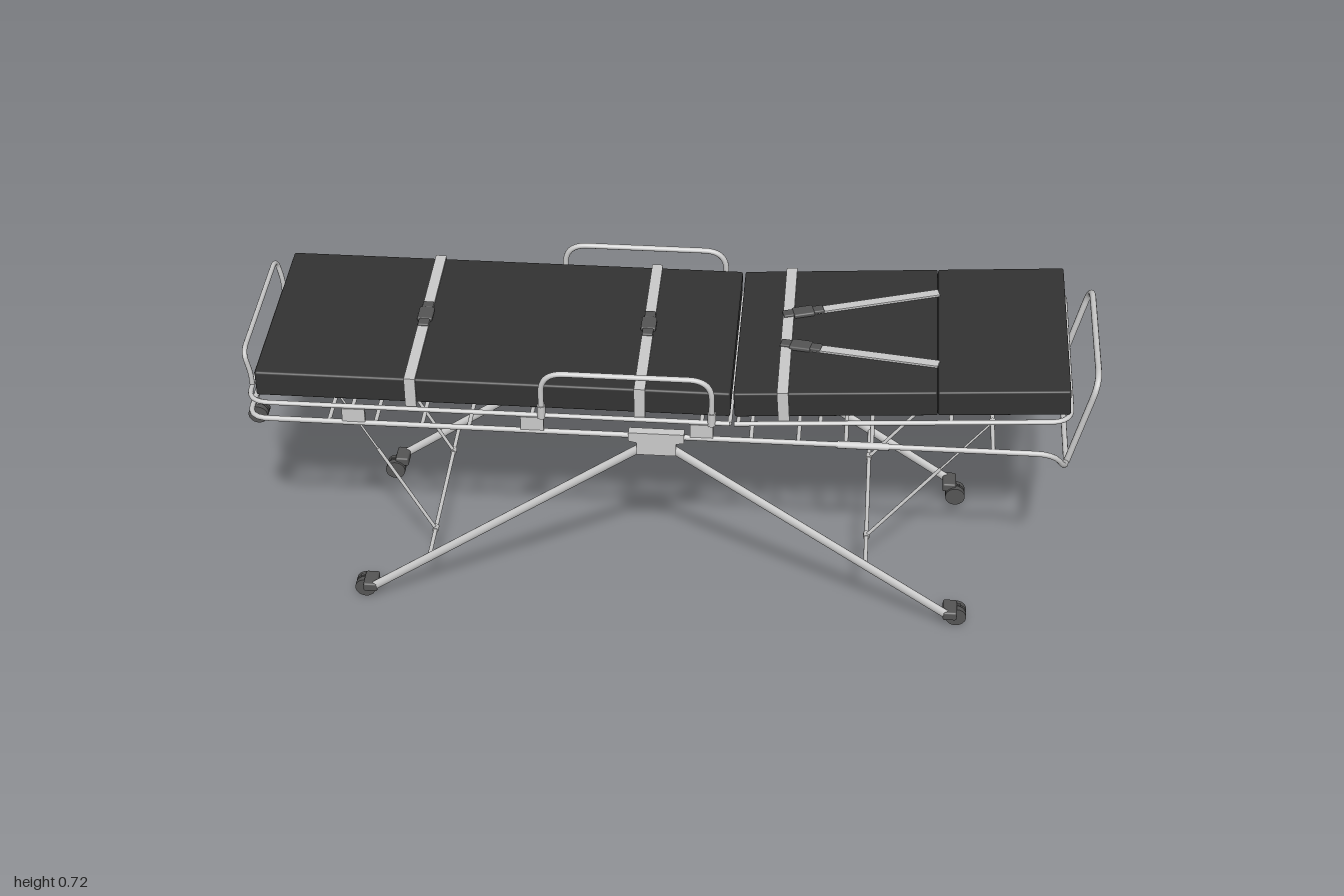
import * as THREE from 'three';
import { RoundedBoxGeometry } from 'three/addons/geometries/RoundedBoxGeometry.js';

const V = (x, y, z) => new THREE.Vector3(x, y, z);
const metal = new THREE.MeshStandardMaterial({ color: 0xcccccc, side: THREE.DoubleSide });
const padding = new THREE.MeshStandardMaterial({ color: 0x333333 });
const rubber = new THREE.MeshStandardMaterial({ color: 0x555555 });

function add(parent, name, geometry, material = metal) {
  const mesh = new THREE.Mesh(geometry, material);
  mesh.name = name;
  parent.add(mesh);
  return mesh;
}

// Box given by its centre and size
function box(parent, name, c, s, material = metal, r = 0) {
  const g = r ? new RoundedBoxGeometry(...s, 3, r) : new THREE.BoxGeometry(...s);
  const m = add(parent, name, g, material);
  m.position.set(...c);
  return m;
}

// Straight round bar between two points
function bar(parent, name, a, b, r, material = metal) {
  const d = b.clone().sub(a);
  const m = add(parent, name, new THREE.CylinderGeometry(r, r, d.length(), 12), material);
  m.position.copy(a).add(b).multiplyScalar(0.5);
  m.quaternion.setFromUnitVectors(V(0, 1, 0), d.normalize());
  return m;
}

// Bent tube through corner points, each corner rounded
function bentTube(parent, name, pts, r, bend, closed = false, segments = 160) {
  const n = pts.length, path = new THREE.CurvePath();
  const toward = (a, b) => a.clone().add(
    b.clone().sub(a).setLength(Math.min(bend, a.distanceTo(b) * 0.45)));
  let last = closed ? null : pts[0];
  let first = last;
  for (let i = closed ? 0 : 1; i < (closed ? n : n - 1); i++) {
    const p = pts[i];
    const a = toward(p, pts[(i + n - 1) % n]), b = toward(p, pts[(i + 1) % n]);
    if (last) path.add(new THREE.LineCurve3(last, a));
    else first = a;
    path.add(new THREE.QuadraticBezierCurve3(a, p, b));
    last = b;
  }
  path.add(new THREE.LineCurve3(last, closed ? first : pts[n - 1]));
  path.arcLengthDivisions = 400;
  return add(parent, name, new THREE.TubeGeometry(path, segments, r, 10, closed));
}

// Twin-wheel caster, origin at the wheel centre
function caster(parent, name, x, y, z, r) {
  const g = new THREE.Group();
  g.name = name;
  for (const s of [-1, 1]) {
    const wheel = add(g, 'wheel', new THREE.CylinderGeometry(r, r, 0.014, 24), rubber);
    wheel.rotation.x = Math.PI / 2;
    wheel.position.z = s * 0.01;
  }
  bar(g, 'axle', V(0, 0, -0.016), V(0, 0, 0.016), r * 0.3);
  box(g, 'fork', [0, r * 0.5, 0], [r * 0.9, r * 1.2, 0.006], rubber);
  g.position.set(x, y, z);
  parent.add(g);
  return g;
}

// Strap over the mattress, with a buckle in the middle
function strap(parent, x, y0, y1) {
  box(parent, 'strapTop', [x, y1 + 0.002, 0], [0.026, 0.005, 0.52]);
  for (const s of [-1, 1])
    box(parent, 'strapSide', [x, (y0 + y1) / 2, s * 0.258], [0.026, y1 - y0 + 0.009, 0.005]);
}

function buckle(parent, x, y, z, turn) {
  const g = new THREE.Group();
  g.name = 'buckle';
  box(g, 'buckleBody', [0, 0, 0], [0.036, 0.011, 0.05], rubber, 0.004);
  for (const s of [-1, 1]) box(g, 'buckleEnd', [0, 0, s * 0.036], [0.026, 0.009, 0.026], rubber, 0.003);
  g.position.set(x, y, z);
  g.rotation.y = turn;
  parent.add(g);
}

export function createModel() {
  const model = new THREE.Group();
  model.name = 'stretcher';
  const Z = 0.27, UP = 0.594, LOW = 0.548;

  // Mattress for the legs and its upper frame
  box(model, 'legMattress', [-0.405, 0.635, 0], [1.11, 0.066, 0.51], padding, 0.006);
  bentTube(model, 'upperFrame',
    [V(0.15, UP, Z), V(-0.98, UP, Z), V(-0.98, UP, -Z), V(0.15, UP, -Z)], 0.006, 0.05);
  for (const x of [-0.73, -0.31, 0.085, 0.15])
    bar(model, 'upperCrossbar', V(x, UP, -Z), V(x, UP, Z), 0.005);
  for (const x of [-0.595, -0.06]) {
    strap(model, x, 0.598, 0.668);
    buckle(model, x, 0.673, -0.005, 0);
  }

  // Tilted back rest, hinged at the end of the upper frame
  const back = new THREE.Group();
  back.name = 'backRest';
  back.position.set(0.16, UP, 0);
  back.rotation.z = 0.0645;
  model.add(back);
  box(back, 'backMattress', [0.235, 0.041, 0], [0.468, 0.066, 0.51], padding, 0.005);
  box(back, 'headMattress', [0.621, 0.041, 0], [0.302, 0.066, 0.51], padding, 0.005);
  bentTube(back, 'backFrame',
    [V(0, 0, Z), V(0.775, 0, Z), V(0.775, 0, -Z), V(0, 0, -Z)], 0.006, 0.05);
  for (const x of [0.01, 0.2, 0.5])
    bar(back, 'backCrossbar', V(x, 0, -Z), V(x, 0, Z), 0.005);
  strap(back, 0.115, 0.004, 0.074);
  for (const s of [-1, 1]) {
    const a = V(0.14, 0.077, s * 0.068), b = V(0.472, 0.077, s * 0.147);
    const turn = -Math.atan2(b.z - a.z, b.x - a.x);
    const m = box(back, 'shoulderStrap', a.clone().add(b).multiplyScalar(0.5).toArray(),
      [a.distanceTo(b), 0.005, 0.024]);
    m.rotation.y = turn;
    buckle(back, 0.15, 0.079, s * 0.07, turn + Math.PI / 2);
  }

  // Lower frame, dipping at the head end
  bentTube(model, 'lowerFrame', [
    V(-0.98, LOW, Z), V(0.9, LOW, Z), V(0.935, 0.481, 0.237),
    V(0.935, 0.481, -0.237), V(0.9, LOW, -Z), V(-0.98, LOW, -Z),
  ], 0.0065, 0.045, true, 300);
  for (const x of [-0.79, -0.68, -0.57, -0.46, 0.2, 0.31, 0.42, 0.76])
    bar(model, 'lowerCrossbar', V(x, LOW, -Z), V(x, LOW, Z), 0.005);

  // Handles at both ends
  const h = 0.198, c = 0.007;
  bentTube(model, 'headHandle', [V(0.936, 0.481, c + h), V(0.992, 0.711, c + h),
    V(0.992, 0.711, c - h), V(0.936, 0.481, c - h)], 0.0075, 0.05);
  bentTube(model, 'footHandle', [V(-0.98, UP, c + h), V(-0.981, 0.63, c + h), V(-0.994, 0.688, c + h),
    V(-0.994, 0.688, c - h), V(-0.981, 0.63, c - h), V(-0.98, UP, c - h)], 0.006, 0.035);

  for (const s of [-1, 1]) {
    // Side rail with clamps
    bentTube(model, 'sideRail', [V(-0.288, UP, s * Z), V(-0.288, 0.713, s * Z),
      V(0.108, 0.713, s * Z), V(0.108, UP, s * Z)], 0.007, 0.055);
    for (const x of [-0.288, 0.108])
      bar(model, 'railClamp', V(x, 0.588, s * Z), V(x, 0.622, s * Z), 0.01);

    // Brackets joining the two frames
    for (const x of [-0.73, -0.31, 0.085])
      box(model, 'frameBracket', [x, 0.571, s * Z], [0.054, 0.036, 0.01]);

    // Hub where the legs meet
    const hub = new THREE.Shape([[-0.085, 0.562], [-0.085, 0.538], [-0.066, 0.534], [-0.066, 0.5],
      [0.026, 0.5], [0.026, 0.534], [0.045, 0.538], [0.045, 0.562]].map(p => new THREE.Vector2(...p)));
    add(model, 'legHub', new THREE.ExtrudeGeometry(hub, { depth: 0.022, bevelEnabled: false }))
      .position.z = s * Z - 0.011;

    // Legs, casters and gas struts
    const legs = [
      { top: V(-0.05, 0.518, s * Z), foot: V(-0.725, 0.042, s * Z), wheel: -0.742,
        hi: V(-0.79, LOW, s * 0.157), lo: V(-0.575, 0.146, s * 0.157) },
      { top: V(0.01, 0.518, s * Z), foot: V(0.69, 0.042, s * Z), wheel: 0.706,
        hi: V(0.76, LOW, s * 0.157), lo: V(0.48, 0.19, s * 0.157) },
    ];
    for (const { top, foot, wheel, hi, lo } of legs) {
      bar(model, 'leg', top, foot, 0.011).scale.z = 0.7;
      box(model, 'casterMount', [foot.x, 0.047, s * 0.252], [0.034, 0.024, 0.054], rubber, 0.005);
      caster(model, 'legCaster', wheel, 0.025, s * 0.236, 0.025);
      const mid = lo.clone().lerp(hi, 0.6);
      bar(model, 'strutCylinder', lo, mid, 0.0042);
      bar(model, 'strutRod', mid, hi, 0.0026);
      for (const p of [lo, hi])
        bar(model, 'strutCollar', V(p.x, p.y, p.z - 0.009), V(p.x, p.y, p.z + 0.009), 0.0075);
    }

    // Small casters under the foot end
    caster(model, 'footCaster', -0.977, 0.5, c + s * 0.172, 0.023);
    bar(model, 'footCasterStem', V(-0.977, 0.505, c + s * 0.172), V(-0.977, LOW, c + s * 0.172), 0.005);

    // Prop holding up the back rest
    bar(model, 'backProp', V(0.48, 0.556, s * 0.15), V(0.68, 0.616, s * 0.15), 0.004);
    bar(model, 'propSleeve', V(0.4, LOW, s * Z), V(0.52, LOW, s * Z), 0.009);
  }
  bar(model, 'propBar', V(0.48, 0.552, -Z), V(0.48, 0.552, Z), 0.005);

  // Crossbars tying each pair of legs
  bar(model, 'footLegCrossbar', V(-0.575, 0.146, -Z), V(-0.575, 0.146, Z), 0.005);
  bar(model, 'headLegCrossbar', V(0.48, 0.19, -Z), V(0.48, 0.19, Z), 0.005);
  return model;
}
